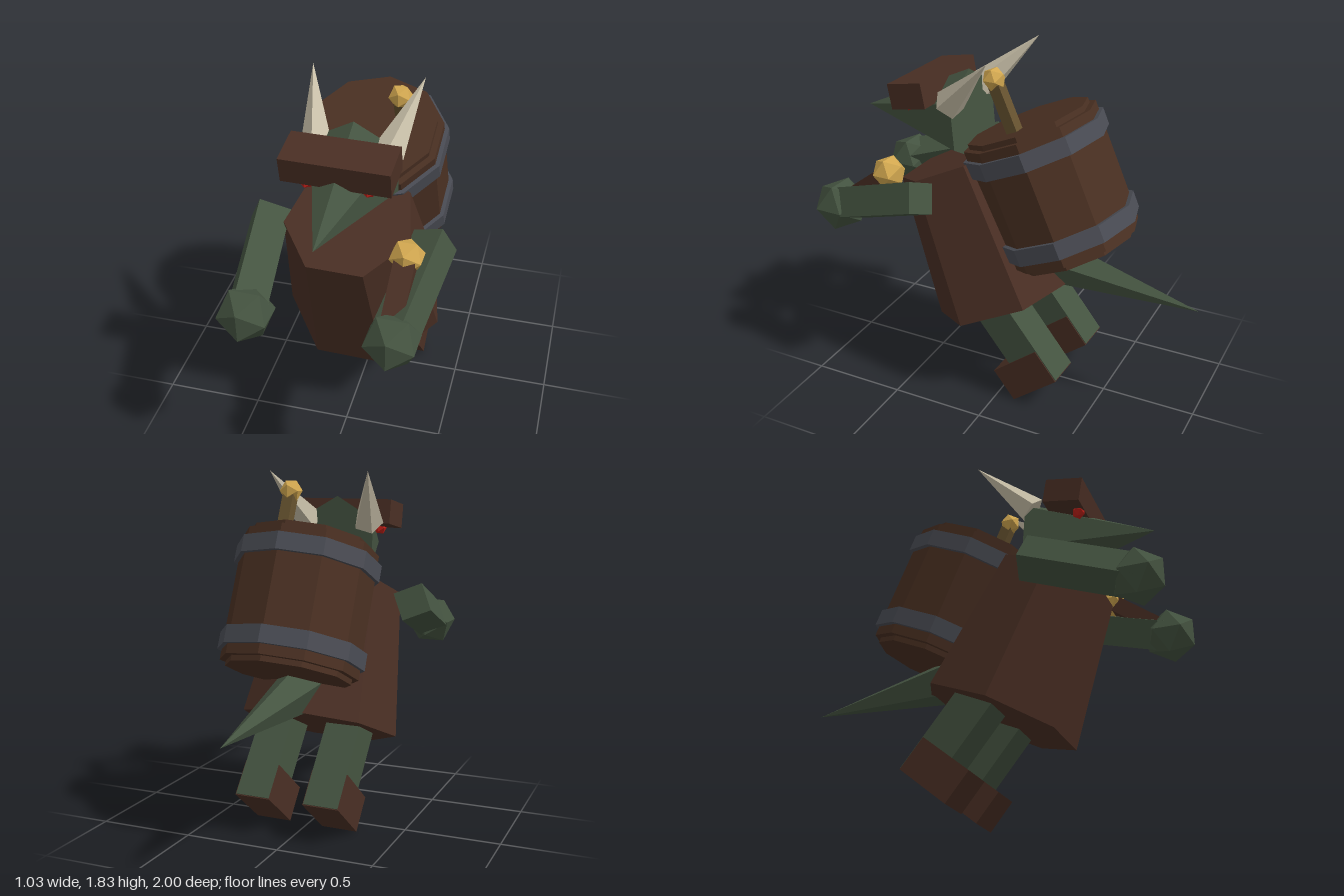
import * as THREE from 'three';

const V = (x, y, z) => new THREE.Vector3(x, y, z);
const UP = V(0, 1, 0);

function paint(name, color) {
  const m = new THREE.MeshStandardMaterial({ color, flatShading: true });
  m.name = name;
  return m;
}

export function createModel() {
  const skin = paint('greenSkin', 0x445340);
  const leather = paint('brownLeather', 0x4a2f24);
  const wood = paint('barrelWood', 0x4a3022);
  const iron = paint('darkIron', 0x4a4c54);
  const gold = paint('gold', 0xd2a850);
  const bone = paint('bone', 0xc8bfa8);
  const red = paint('redEye', 0xc02018);
  const stick = paint('oliveWood', 0x66522f);

  const root = new THREE.Group();
  root.name = 'goblinWithBarrel';

  const add = (name, geometry, material, pos, tilt = 0, parent = root) => {
    const mesh = new THREE.Mesh(geometry, material);
    mesh.name = name;
    mesh.position.copy(pos);
    mesh.rotation.x = tilt;
    parent.add(mesh);
    return mesh;
  };
  const box = (w, h, d) => new THREE.BoxGeometry(w, h, d);
  const ball = (r) => new THREE.IcosahedronGeometry(r, 0);

  // Spike with its base centre at a and its point at b
  const spike = (name, r, sides, material, a, b) => {
    const dir = b.clone().sub(a);
    const mesh = add(name, new THREE.ConeGeometry(r, dir.length(), sides), material, a.clone().lerp(b, 0.5));
    mesh.quaternion.setFromUnitVectors(UP, dir.normalize());
    return mesh;
  };
  // Square bar running from a to b, rolled about its length
  const bar = (name, w, h, material, a, b, roll = 0) => {
    const mesh = add(name, box(w, h, a.distanceTo(b)), material, a.clone().lerp(b, 0.5));
    mesh.lookAt(b);
    mesh.rotateZ(roll);
    return mesh;
  };

  // Seven-sided coat leaning forward, flat face to the front
  add('coat', new THREE.CylinderGeometry(0.32, 0.415, 0.775, 7).rotateY(Math.PI), leather,
    V(0, 0.85, 0.208), 0.42);

  // Long pointed head with a cap
  const pitch = 0.08;
  add('head', new THREE.ConeGeometry(0.24, 0.64, 6), skin, V(0, 1.43, 0.588), Math.PI / 2 + pitch);
  add('cap', box(0.515, 0.13, 0.196), leather, V(0, 1.595, 0.497), 0.18);

  // Barrel carried on the back
  const barrel = new THREE.Group();
  barrel.name = 'barrel';
  barrel.position.set(0, 1.16, -0.182);
  barrel.rotation.x = 0.415;
  root.add(barrel);
  const ring = (name, r, h, material, y) =>
    add(name, new THREE.CylinderGeometry(r, r, h, 10), material, V(0, y, 0), 0, barrel);
  ring('barrelStaves', 0.35, 0.64, wood, 0);
  ring('barrelLids', 0.318, 0.695, wood, 0);
  for (const y of [-0.226, 0.228]) ring('barrelHoop', 0.372, 0.088, iron, y);

  // Stick with a gold knob standing in the barrel
  bar('barrelStick', 0.06, 0.06, stick, V(0.16, 1.40, -0.09), V(0.16, 1.72, 0.053));
  add('barrelStickKnob', ball(0.06), gold, V(0.16, 1.727, 0.056));

  // Tail
  spike('tail', 0.135, 5, skin, V(0, 0.75, -0.15), V(0, 0.65, -0.993));

  // Mirrored parts
  for (const s of [1, -1]) {
    const side = s > 0 ? 'left' : 'right';
    add(side + 'Eye', ball(0.037), red, V(s * 0.145, 1.515, 0.548));
    spike(side + 'Horn', 0.08, 5, bone, V(s * 0.17, 1.56, 0.305), V(s * 0.272, 1.83, 0.035));

    const shoulder = V(s * 0.412, 1.145, 0.335);
    const hand = V(s * 0.345, 0.965, 0.88);
    bar(side + 'Arm', 0.16, 0.155, skin, shoulder, hand, s * 0.4);
    add(side + 'Fist', ball(0.14), skin, hand);

    // Leg runs down the back of the boot
    const leg = new THREE.Group();
    leg.name = side + 'Leg';
    leg.position.set(s * 0.19, 0.171, -0.174);
    leg.rotation.x = 0.68;
    root.add(leg);
    add(side + 'Shin', box(0.185, 0.58, 0.2), skin, V(0, 0.2, -0.06), 0, leg);
    add(side + 'Boot', box(0.195, 0.19, 0.31), leather, V(0, 0, 0), 0, leg);
  }

  // Mace held in the left fist
  bar('maceHandle', 0.1, 0.085, leather, V(0.332, 0.98, 0.87), V(0.332, 1.19, 0.59));
  add('maceHead', ball(0.088), gold, V(0.332, 1.205, 0.572));

  // Slight turn of the whole figure
  root.rotation.y = -0.03;
  root.position.x = 0.007;
  const model = new THREE.Group();
  model.name = 'model';
  model.add(root);
  return model;
}
